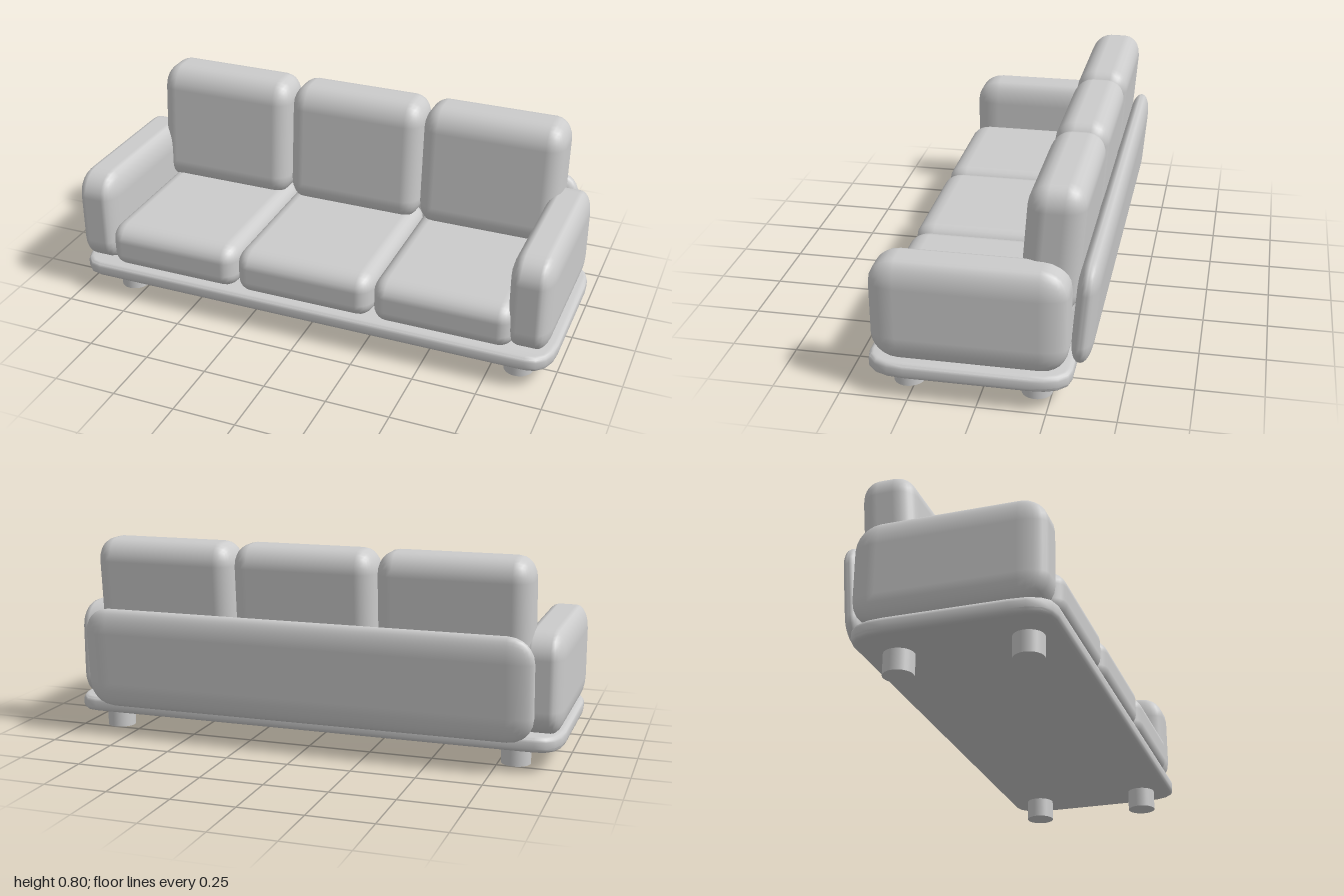
import * as THREE from 'three';
import { RoundedBoxGeometry } from 'three/addons/geometries/RoundedBoxGeometry.js';
import { toCreasedNormals } from 'three/addons/utils/BufferGeometryUtils.js';

const material = new THREE.MeshStandardMaterial({ color: 0xcccccc });

// Soft block spanning [min, max] on each axis, with its own corner radius per axis.
// lean shifts z by lean * height above the block's middle.
function softBlock(name, [x0, x1], [y0, y1], [z0, z1], [rx, ry, rz], lean = 0) {
  const geometry = new RoundedBoxGeometry((x1 - x0) / rx, (y1 - y0) / ry, (z1 - z0) / rz, 3, 1);
  geometry.scale(rx, ry, rz);
  geometry.applyMatrix4(new THREE.Matrix4().set(
    1, 0, 0, 0,
    0, 1, 0, 0,
    0, lean, 1, 0,
    0, 0, 0, 1));
  const mesh = new THREE.Mesh(geometry, material);
  mesh.name = name;
  mesh.position.set((x0 + x1) / 2, (y0 + y1) / 2, (z0 + z1) / 2);
  return mesh;
}

// Thin plinth with cut-in corners and a soft edge
function makeBase() {
  const bevel = 0.018, w = 1 - bevel, d = 0.37 - bevel, cx = 0.08, cz = 0.13;
  const shape = new THREE.Shape();
  shape.moveTo(w, -d + cz);
  shape.lineTo(w, d - cz);
  shape.quadraticCurveTo(w, d, w - cx, d);
  shape.lineTo(-w + cx, d);
  shape.quadraticCurveTo(-w, d, -w, d - cz);
  shape.lineTo(-w, -d + cz);
  shape.quadraticCurveTo(-w, -d, -w + cx, -d);
  shape.lineTo(w - cx, -d);
  shape.quadraticCurveTo(w, -d, w, -d + cz);
  const geometry = new THREE.ExtrudeGeometry(shape, {
    depth: 0.06 - 2 * bevel, bevelSize: bevel, bevelThickness: bevel, bevelSegments: 3, curveSegments: 4,
  });
  geometry.rotateX(-Math.PI / 2);
  const mesh = new THREE.Mesh(toCreasedNormals(geometry, 0.7), material);
  mesh.name = 'base';
  mesh.position.set(0, 0.082 + bevel, 0.04);
  return mesh;
}

export function createModel() {
  const sofa = new THREE.Group();
  sofa.name = 'sofa';
  sofa.add(makeBase());

  // Armrests
  const armY = [0.135, 0.53], armZ = [-0.318, 0.392], armR = [0.05, 0.1, 0.1];
  sofa.add(softBlock('rightArm', [-1, -0.83], armY, armZ, armR));
  sofa.add(softBlock('leftArm', [0.81, 0.98], armY, armZ, armR));

  // Three seat cushions, each with a back cushion leaning behind it
  const seats = [[-0.85, -0.287], [-0.287, 0.287], [0.287, 0.85]];
  const backs = [[-0.88, -0.29], [-0.285, 0.288], [0.288, 0.87]];
  for (let i = 0; i < 3; i++) {
    sofa.add(softBlock('seatCushion', seats[i], [0.138, 0.325], [-0.3, 0.406], [0.06, 0.065, 0.08]));
    sofa.add(softBlock('backCushion', backs[i], [0.3, 0.803], [-0.347, -0.136], [0.07, 0.09, 0.075], -0.08));
  }

  // Long padded back panel
  sofa.add(softBlock('backPanel', [-0.905, 0.905], [0.12, 0.527], [-0.402, -0.32], [0.1, 0.1, 0.038], -0.085));

  // Round feet
  for (const x of [-0.815, 0.855]) {
    for (const z of [-0.195, 0.277]) {
      const foot = new THREE.Mesh(new THREE.CylinderGeometry(0.057, 0.057, 0.1, 32), material);
      foot.name = 'foot';
      foot.position.set(x, 0.05, z);
      sofa.add(foot);
    }
  }
  return sofa;
}
